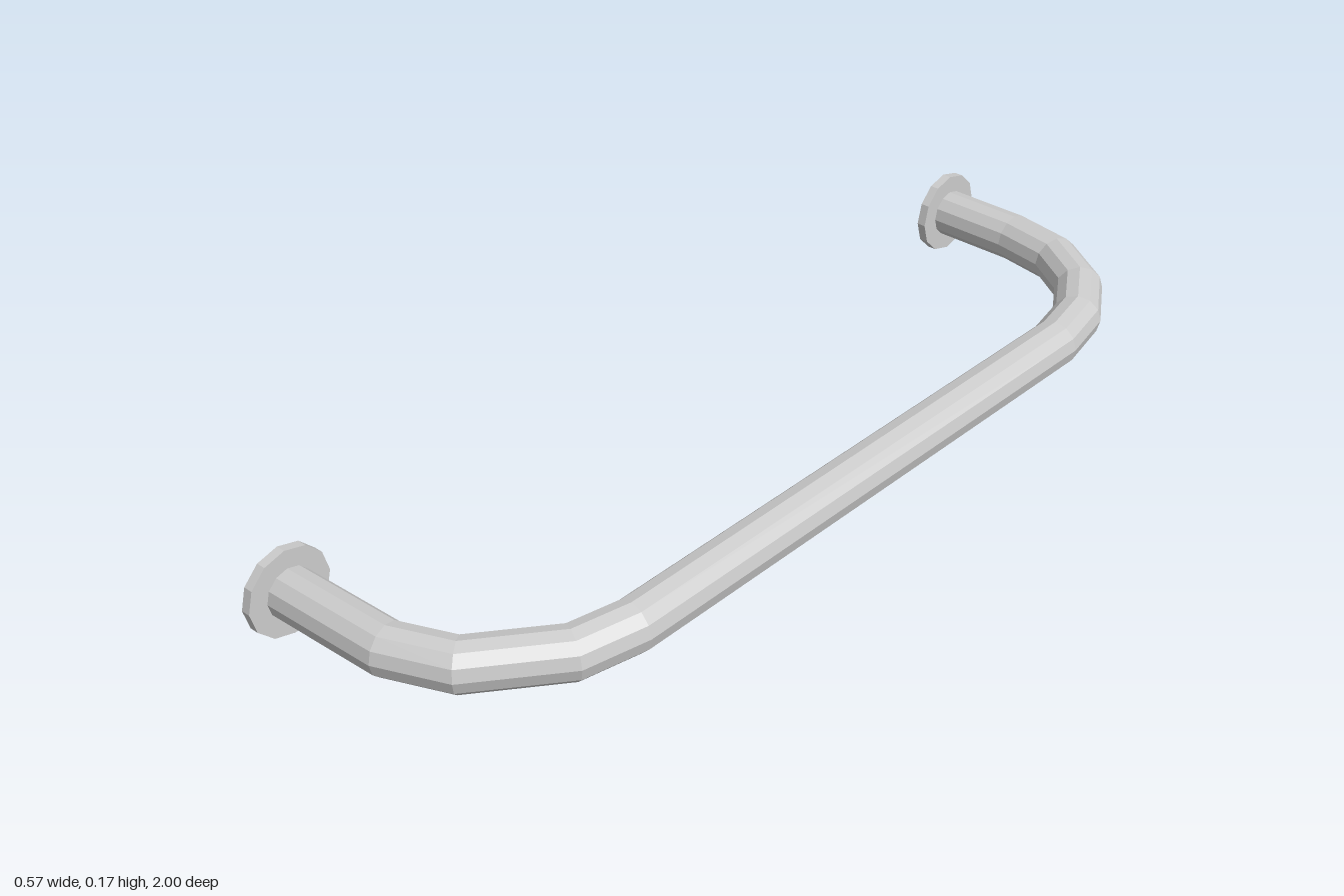
import * as THREE from 'three';

const SIDES = 12;
const CENTRE_Y = 0.086;
const BAR_RADIUS = 0.049;

// Sweeps a round section along a flat (x, z) path with mitred joints.
function mitredTube(path, radius, sides) {
  const pts = path.map(([x, z]) => new THREE.Vector2(x, z));
  const dirs = pts.slice(1).map((p, i) => p.clone().sub(pts[i]).normalize());
  const positions = [];
  const index = [];
  pts.forEach((p, i) => {
    const before = dirs[Math.max(i - 1, 0)];
    const after = dirs[Math.min(i, dirs.length - 1)];
    const t = before.clone().add(after).normalize();
    const stretch = 1 / t.dot(after);
    for (let s = 0; s < sides; s++) {
      const a = (s / sides) * Math.PI * 2;
      const out = Math.cos(a) * radius * stretch;
      positions.push(p.x + t.y * out, Math.sin(a) * radius, p.y - t.x * out);
      if (i < pts.length - 1) {
        const a0 = i * sides + s;
        const a1 = i * sides + ((s + 1) % sides);
        index.push(a0, a1, a1 + sides, a0, a1 + sides, a0 + sides);
      }
    }
  });
  const geometry = new THREE.BufferGeometry();
  geometry.setAttribute('position', new THREE.Float32BufferAttribute(positions, 3));
  geometry.setIndex(index);
  geometry.computeVertexNormals();
  return geometry;
}

export function createModel() {
  const model = new THREE.Group();
  model.name = 'pullHandle';
  const material = new THREE.MeshStandardMaterial({ color: 0xcccccc, flatShading: true });

  // Bent grip bar, from the back mount to the front mount; the bends differ slightly
  const path = [
    [-0.27, -0.915], [-0.09, -0.915], [0.035, -0.893], [0.142, -0.823], [0.208, -0.72], [0.233, -0.605],
    [0.233, 0.6], [0.208, 0.715], [0.092, 0.858], [-0.025, 0.906], [-0.27, 0.913],
  ];
  const bar = new THREE.Mesh(mitredTube(path, BAR_RADIUS, SIDES), material);
  bar.name = 'gripBar';
  bar.position.y = CENTRE_Y;
  model.add(bar);

  // Round mounting plates at both ends
  const plate = new THREE.CylinderGeometry(0.086, 0.086, 0.019, SIDES).rotateZ(Math.PI / 2);
  for (const [name, z] of [['frontMountingPlate', 0.914], ['backMountingPlate', -0.914]]) {
    const mesh = new THREE.Mesh(plate, material);
    mesh.name = name;
    mesh.position.set(-0.274, CENTRE_Y, z);
    model.add(mesh);
  }
  return model;
}
